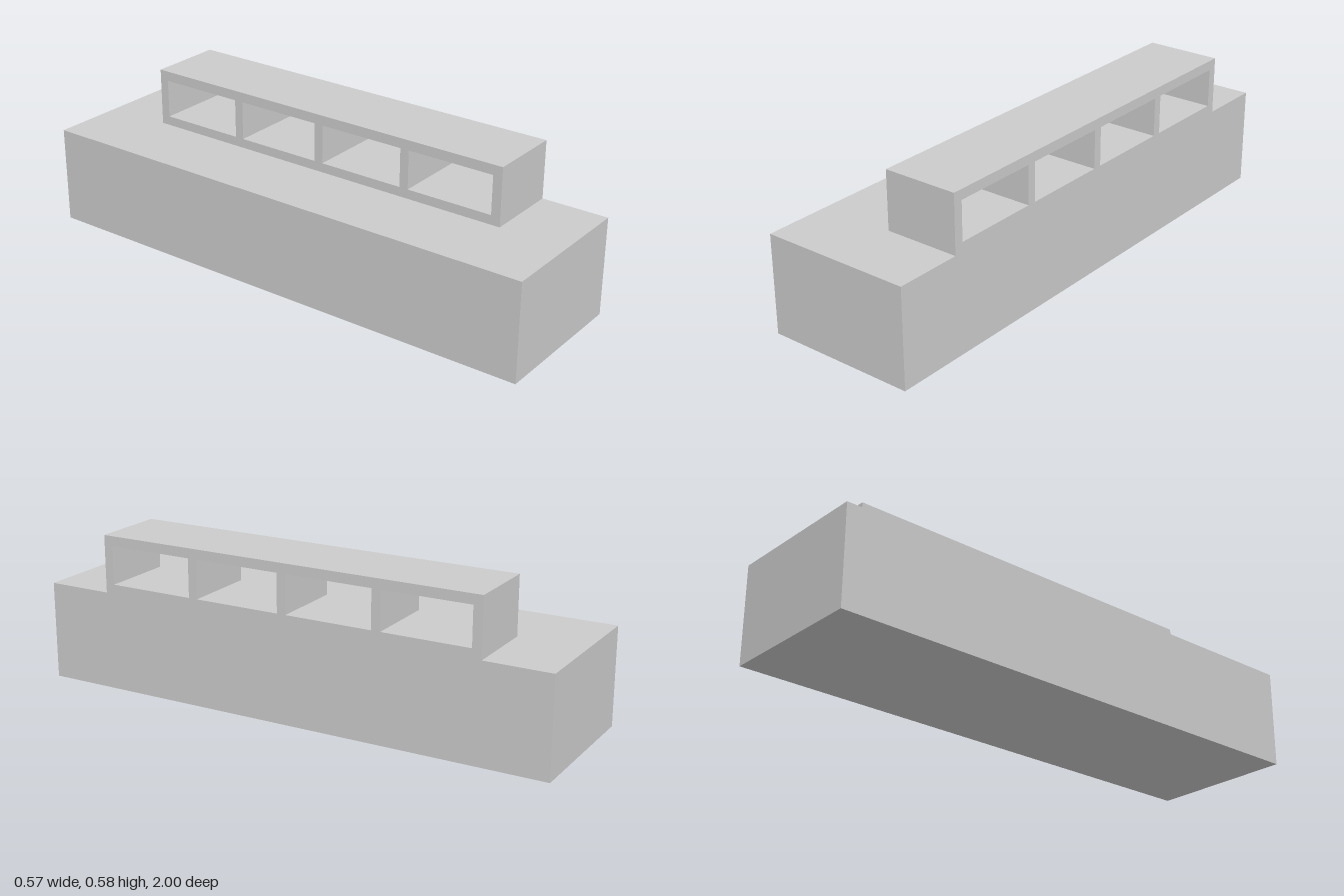
import * as THREE from 'three';

const HALF_WIDTH = 0.283, BASE_TOP = 0.368, TOP = 0.585;

function rectangle(target, z0, y0, z1, y1) {
  target.moveTo(z0, y0);
  target.lineTo(z1, y0);
  target.lineTo(z1, y1);
  target.lineTo(z0, y1);
  target.closePath();
  return target;
}

export function createModel() {
  const group = new THREE.Group();
  const material = new THREE.MeshStandardMaterial({ color: 0xcccccc, flatShading: true });

  // Solid block underneath
  const base = new THREE.Mesh(new THREE.BoxGeometry(HALF_WIDTH * 2, BASE_TOP, 2), material);
  base.name = 'base';
  base.position.y = BASE_TOP / 2;
  group.add(base);

  // Upper rack with four open compartments, flush with the +x side
  const profile = rectangle(new THREE.Shape(), -0.75, BASE_TOP, 0.75, TOP);
  const holeWidth = 0.332, pitch = 0.366;
  for (let i = 0; i < 4; i++) {
    const z = (i - 1.5) * pitch;
    profile.holes.push(rectangle(new THREE.Path(), z - holeWidth / 2, 0.403, z + holeWidth / 2, 0.548));
  }
  const rack = new THREE.Mesh(
    new THREE.ExtrudeGeometry(profile, { depth: HALF_WIDTH, bevelEnabled: false }), material);
  rack.name = 'compartmentRack';
  rack.rotation.y = -Math.PI / 2;
  rack.position.x = HALF_WIDTH;
  group.add(rack);

  return group;
}
